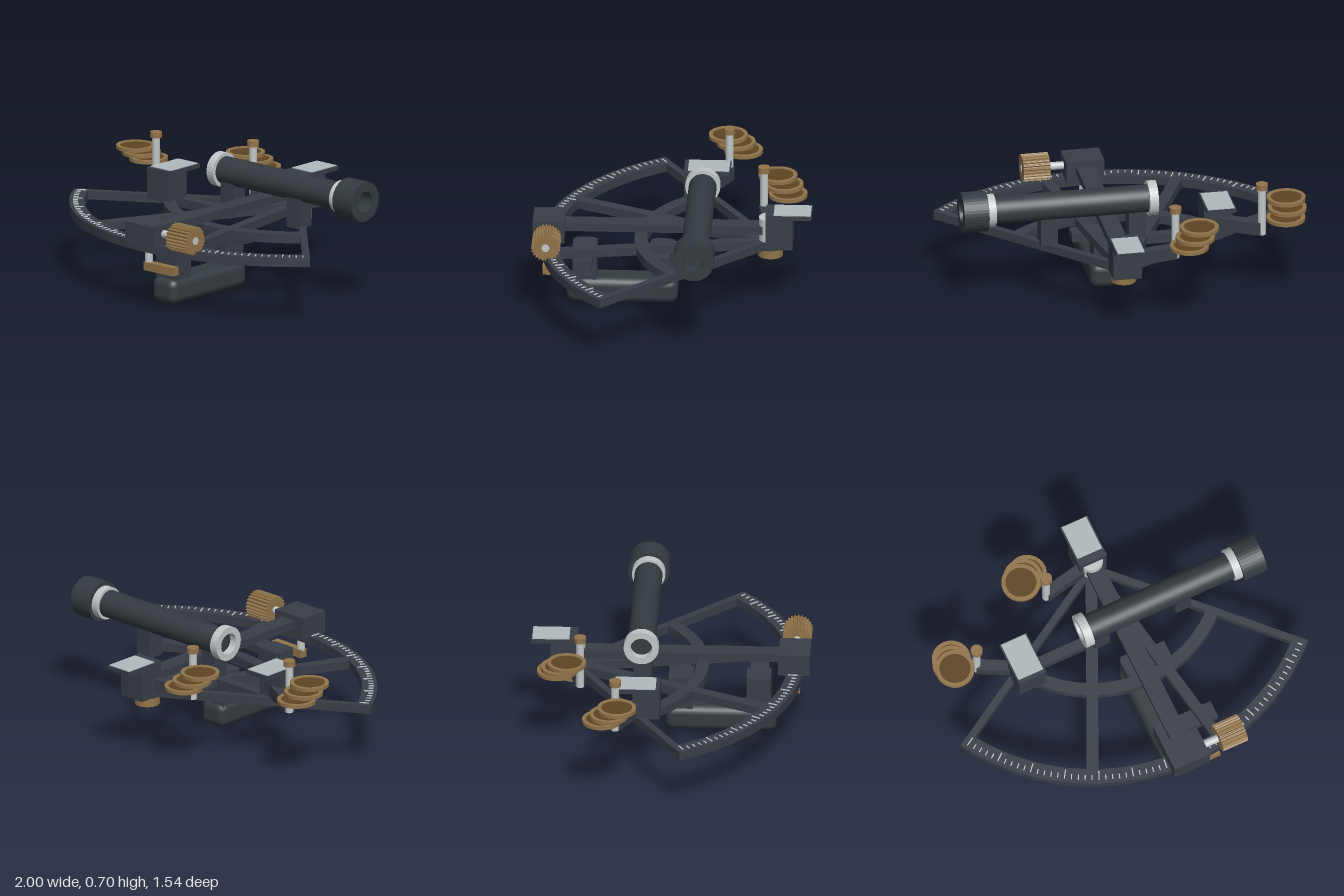
import * as THREE from 'three';
import { RoundedBoxGeometry } from 'three/addons/geometries/RoundedBoxGeometry.js';

const mat = (name, color, side = THREE.FrontSide) => {
  const m = new THREE.MeshStandardMaterial({ color, side });
  m.name = name;
  return m;
};
const rad = THREE.MathUtils.degToRad;

export function createModel() {
  const model = new THREE.Group();
  model.name = 'navigationInstrument';
  const dark = mat('darkFrame', 0x393e46);
  const black = mat('blackTube', 0x343b40);
  const silver = mat('silver', 0xc2c6c6);
  const mirror = mat('mirrorGlass', 0xb0babc);
  const brass = mat('brass', 0x91744a);
  const amber = mat('amberGlass', 0x5e4522, THREE.DoubleSide);

  const add = (name, geo, material, x = 0, y = 0, z = 0) => {
    const m = new THREE.Mesh(geo, material);
    m.name = name;
    m.position.set(x, y, z);
    model.add(m);
    return m;
  };
  // Box given by its limits on each axis
  const box = (name, material, [x0, x1], [y0, y1], [z0, z1]) =>
    add(name, new THREE.BoxGeometry(x1 - x0, y1 - y0, z1 - z0), material,
      (x0 + x1) / 2, (y0 + y1) / 2, (z0 + z1) / 2);
  // Flat bar between two points in plan
  const bar = (name, material, [xa, za], [xb, zb], width, y0, y1) => {
    const dx = xb - xa, dz = zb - za;
    const m = add(name, new THREE.BoxGeometry(width, y1 - y0, Math.hypot(dx, dz)), material,
      (xa + xb) / 2, (y0 + y1) / 2, (za + zb) / 2);
    m.rotation.y = Math.atan2(dx, dz);
    return m;
  };
  // Upright cylinder
  const post = (name, material, r, y0, y1, x, z) =>
    add(name, new THREE.CylinderGeometry(r, r, y1 - y0, 32), material, x, (y0 + y1) / 2, z);
  // Cylinder lying along x
  const rod = (name, material, r, x0, x1, y, z) => {
    const m = add(name, new THREE.CylinderGeometry(r, r, x1 - x0, 40), material, (x0 + x1) / 2, y, z);
    m.rotation.z = -Math.PI / 2;
    return m;
  };
  // Ring with a square section, lying along x
  const collar = (name, material, rIn, rOut, x0, x1, y, z) => {
    const s = new THREE.Shape().absarc(0, 0, rOut, 0, Math.PI * 2);
    s.holes.push(new THREE.Path().absarc(0, 0, rIn, 0, Math.PI * 2, true));
    const g = new THREE.ExtrudeGeometry(s, { depth: x1 - x0, bevelEnabled: false, curveSegments: 20 });
    g.rotateY(Math.PI / 2);
    return add(name, g, material, x0, y, z);
  };

  // Sector frame around the pivot
  const PX = 0.1, PZ = -0.54, R = 1.27, Y0 = 0.325, Y1 = 0.375;
  const polar = (deg, r) => [PX + r * Math.sin(rad(deg)), PZ + r * Math.cos(rad(deg))];
  const arc = (name, rIn, rOut) => {
    const a = rad(45), b = rad(150);
    const s = new THREE.Shape();
    s.absarc(0, 0, rOut, a, b, false);
    s.absarc(0, 0, rIn, b, a, true);
    const g = new THREE.ExtrudeGeometry(s, { depth: Y1 - Y0, bevelEnabled: false, curveSegments: 48 });
    g.rotateX(Math.PI / 2);
    add(name, g, dark, PX, Y1, PZ);
  };
  arc('scaleArc', R - 0.085, R);
  arc('innerArc', 0.68, 0.75);
  for (const [deg, w] of [[-59.1, 0.04], [-25, 0.065], [10, 0.06], [44.1, 0.04]])
    bar('frameSpoke', dark, [PX, PZ], polar(deg, 1.23), w, Y0 + 0.001, Y1 - 0.001);
  post('frameHub', dark, 0.065, Y0, Y1, PX, PZ);
  box('frameCrossBar', dark, [-0.5, -0.04], [Y0, Y1], [-0.19, -0.13]);

  // Scale marks
  for (let i = 0; i <= 58; i++) {
    const deg = -58.5 + i * 1.755;
    const len = i % 5 ? 0.028 : 0.052;
    bar('scaleMark', silver, polar(deg, 1.25 - len), polar(deg, 1.25), 0.006, Y1 - 0.001, Y1 + 0.005);
  }

  // Index arm with pivot, end block and clamp
  box('indexArm', dark, [0.05, 0.15], [0.418, 0.463], [PZ, 0.62]);
  post('pivotPin', silver, 0.065, Y1, 0.505, PX, PZ);
  post('pivotNut', brass, 0.07, 0.28, Y0, PX, PZ);
  box('indexBlock', dark, [-0.01, 0.205], [0.365, 0.49], [0.595, 0.77]);
  post('clampStem', silver, 0.022, 0.25, 0.37, 0.095, 0.688);
  box('clampLever', brass, [0.075, 0.295], [0.215, 0.262], [0.665, 0.711]);

  // Knurled drum on its shaft
  rod('drumShaft', silver, 0.022, 0.2, 0.443, 0.438, 0.686);
  const teeth = 24, gear = new THREE.Shape();
  for (let i = 0; i < teeth * 4; i++) {
    const a = (i / (teeth * 4)) * Math.PI * 2;
    const r = i % 4 < 2 ? 0.08 : 0.071;
    gear[i ? 'lineTo' : 'moveTo'](r * Math.cos(a), r * Math.sin(a));
  }
  const drum = new THREE.ExtrudeGeometry(gear, { depth: 0.15, bevelEnabled: false });
  drum.rotateY(Math.PI / 2);
  add('drum', drum, brass, 0.29, 0.438, 0.686);

  // Mirrors: block, overhanging plate and glass
  const mirrorUnit = (name, x, zFront, y0, gap) => {
    box(name + 'Block', dark, [x - 0.08, x + 0.08], [y0, 0.53], [zFront - 0.15, zFront]);
    box(name + 'Plate', dark, [x - 0.083, x + 0.083], [0.52, 0.543], [zFront - 0.255, zFront]);
    box(name + 'Glass', mirror, [x - 0.075, x + 0.075], [0.542, 0.547], [zFront - 0.25, zFront - gap]);
  };
  mirrorUnit('indexMirror', 0.1, -0.515, 0.34, 0.045);
  mirrorUnit('horizonMirror', -0.498, -0.035, 0.365, 0.022);

  // Shade sets: arm, post, cap and three fanned discs
  const ringShape = new THREE.Shape().absarc(0, 0, 0.108, 0, Math.PI * 2);
  ringShape.holes.push(new THREE.Path().absarc(0, 0, 0.086, 0, Math.PI * 2, true));
  const ringGeo = new THREE.ExtrudeGeometry(ringShape, { depth: 0.02, bevelEnabled: false, curveSegments: 18 });
  ringGeo.rotateX(Math.PI / 2).translate(0, 0.01, 0);
  const glassGeo = new THREE.CylinderGeometry(0.088, 0.088, 0.008, 36);
  const shades = (x, z, from, angles) => {
    bar('shadeArm', dark, from, [x, z], 0.062, Y1 - 0.003, 0.445);
    post('shadePost', silver, 0.022, 0.37, 0.645, x, z);
    post('shadeCap', brass, 0.033, 0.643, 0.675, x, z);
    angles.forEach((deg, i) => {
      const cx = x - 0.14 * Math.cos(rad(deg)), cz = z - 0.14 * Math.sin(rad(deg));
      const y = 0.57 - i * 0.04;
      add('shadeRing', ringGeo, brass, cx, y, cz);
      add('shadeGlass', glassGeo, amber, cx, y, cz);
    });
  };
  shades(-0.2, -0.49, [0.07, -0.545], [30, 49, 67]);
  shades(-0.727, -0.273, [-0.5, -0.155], [-6, 12, 30]);

  // Telescope with hollow ends, on two supports
  const TY = 0.588, TZ = -0.155;
  box('telescopeSupport', dark, [-0.09, 0.005], [0.365, 0.54], [-0.2, -0.1]);
  box('telescopeSupport', dark, [0.405, 0.5], [0.365, 0.54], [-0.2, -0.1]);
  rod('telescopeTube', black, 0.077, -0.11, 0.78, TY, TZ);
  collar('frontRing', silver, 0.06, 0.097, -0.155, -0.105, TY, TZ);
  collar('rearRing', silver, 0.07, 0.092, 0.755, 0.805, TY, TZ);
  collar('eyecup', black, 0.058, 0.113, 0.8, 0.94, TY, TZ);
  rod('eyecupFloor', black, 0.07, 0.77, 0.86, TY, TZ);

  // Handle under the frame
  add('grip', new RoundedBoxGeometry(0.172, 0.145, 0.615, 3, 0.045), black, 0.098, 0.0725, 0.277);
  for (const [z, xEnd] of [[0.055, 0.285], [0.485, 0.365]]) {
    box('gripLeg', dark, [0.025, 0.165], [0.1, Y0], [z - 0.067, z + 0.067]);
    box('gripTab', dark, [0.015, xEnd], [0.282, Y0 + 0.002], [z - 0.05, z + 0.05]);
  }

  return model;
}
